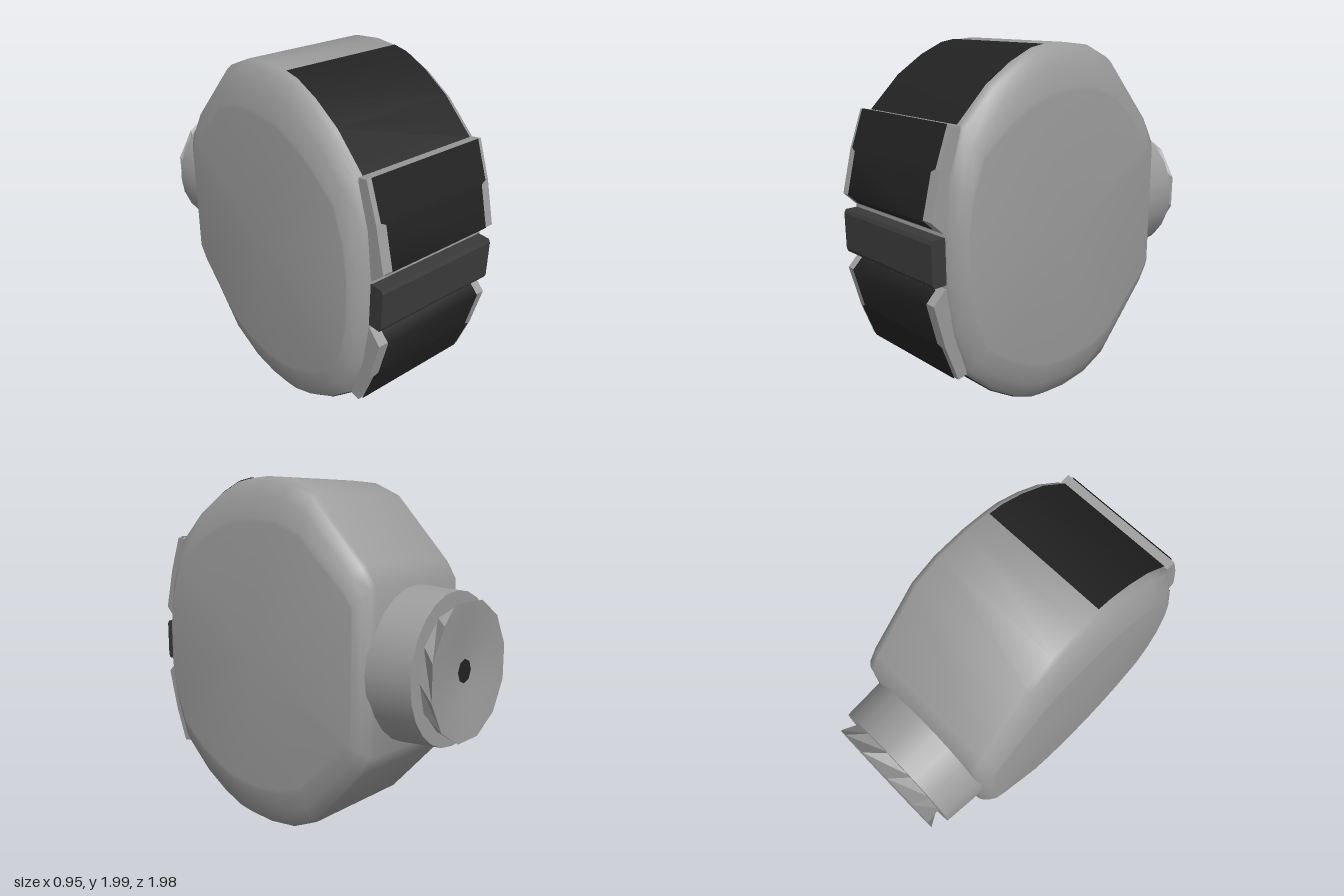
import * as THREE from 'three';
import { toCreasedNormals } from 'three/addons/utils/BufferGeometryUtils.js';

const mat = (name, color, extra = {}) =>
  Object.assign(new THREE.MeshStandardMaterial({ color, ...extra }), { name });

// Outline of the case as [z, y]; upper front arc is shared by the dark strip
const FRONT_ARC = [[0.22, 1.985], [0.31, 1.97], [0.45, 1.91], [0.61, 1.81], [0.79, 1.64]];
const flip = (pts) => pts.map(([z, y]) => [z, 2 - y]);
const upperFront = [[0.08, 1.995], ...FRONT_ARC, [0.87, 1.4], [0.905, 1.15]];
const upperBack = [[-0.66, 1.44], [-0.6, 1.54], [-0.27, 1.9], [-0.1, 1.975]];
const OUTLINE = [
  ...upperFront, ...flip(upperFront).reverse(),
  ...flip(upperBack).reverse(), ...upperBack,
];

function geometryFrom(positions, index) {
  const g = new THREE.BufferGeometry();
  g.setAttribute('position', new THREE.Float32BufferAttribute(positions, 3));
  g.setIndex(index);
  g.computeVertexNormals();
  return g;
}

// Case: the outline lofted across x, drawn in towards both sides
function caseGeometry() {
  const half = [[0.475, 1.12], [0.472, 1], [0.44, 0.5], [0.4, 0.1], [0.37, 0]];
  const rings = [
    ...half.map(([x, t]) => [-x, t]),
    ...half.slice().reverse(),
  ];
  const n = OUTLINE.length, pos = [], idx = [];
  for (const [x, t] of rings)
    for (const [z, y] of OUTLINE)
      pos.push(x, 1 + (y - 1) * (1 - 0.22 * t), 0.1 + (z - 0.1) * (1 - 0.09 * t));
  for (let r = 0; r < rings.length - 1; r++)
    for (let i = 0; i < n; i++) {
      const a = r * n + i, b = r * n + (i + 1) % n;
      idx.push(a, b, b + n, a, b + n, a + n);
    }
  // Flat side caps
  const c = pos.length / 3, last = (rings.length - 1) * n;
  pos.push(-0.475, 1, 0.1, 0.475, 1, 0.1);
  for (let i = 0; i < n; i++) {
    const j = (i + 1) % n;
    idx.push(c, j, i, c + 1, last + i, last + j);
  }
  return toCreasedNormals(geometryFrom(pos, idx), 0.8);
}

// Thin strip along [z, y, halfWidth] points, lifted slightly off the surface
function stripGeometry(points) {
  const pos = [], idx = [], lift = 1.006;
  points.forEach(([z, y, w], i) => {
    const Y = 1 + (y - 1) * lift, Z = 0.1 + (z - 0.1) * lift;
    pos.push(-w, Y, Z, w, Y, Z);
    if (i) {
      const a = 2 * i - 2;
      idx.push(a, a + 2, a + 3, a, a + 3, a + 1);
    }
  });
  return geometryFrom(pos, idx);
}

// Side profile [z, y] extruded across x
function crossBar(points, width) {
  const g = new THREE.ExtrudeGeometry(
    new THREE.Shape(points.map(([z, y]) => new THREE.Vector2(z, y))),
    { depth: width, bevelEnabled: false });
  return g.translate(0, 0, -width / 2).rotateY(-Math.PI / 2);
}

export function createModel() {
  const group = new THREE.Group();
  const grey = mat('caseGrey', 0x9c9c9c);
  const black = mat('gripBlack', 0x222222, { side: THREE.DoubleSide });
  const dark = mat('buttonDark', 0x3a3a3a);
  const add = (name, geometry, material) => {
    const m = new THREE.Mesh(geometry, material);
    m.name = name;
    group.add(m);
    return m;
  };

  add('case', caseGeometry(), grey);

  // Raised pads and dark grips, above and below the button
  const pad = [[0.79, 1.64], [0.845, 1.65], [0.92, 1.45], [0.982, 1.21], [0.91, 1.14], [0.84, 1.14]];
  const padGrip = [[0.845, 1.65, 0.36], [0.92, 1.45, 0.36], [0.924, 1.435, 0.33],
    [0.982, 1.21, 0.33], [0.922, 1.152, 0.33]];
  const arcGrip = FRONT_ARC.map(([z, y]) => [z, y, 0.362]);
  for (const [side, lower] of [['upper', false], ['lower', true]]) {
    const place = (pts) => (lower ? pts.map(([z, y, w]) => [z, 2 - y, w]) : pts);
    add(side + 'Pad', crossBar(place(pad), 0.77), grey);
    add(side + 'PadGrip', stripGeometry(place(padGrip)), black);
    add(side + 'CaseGrip', stripGeometry(place(arcGrip)), black);
  }

  // Button bar with softened edges
  add('button', crossBar([[0.88, 0.88], [0.975, 0.88], [0.985, 0.9],
    [0.985, 1.1], [0.975, 1.12], [0.88, 1.12]], 0.77), dark);

  // Neck at the back
  const neck = new THREE.CylinderGeometry(0.412, 0.43, 0.26, 24);
  add('neck', neck.rotateX(-Math.PI / 2).translate(0, 1, -0.77), grey);

  // Knob wall: facets twisted by half a step
  const N = 12;
  const wall = new THREE.CylinderGeometry(0.375, 0.335, 0.1, N, 1, true);
  const p = wall.attributes.position, v = new THREE.Vector3(), up = new THREE.Vector3(0, 1, 0);
  for (let i = 0; i < p.count; i++) {
    v.fromBufferAttribute(p, i);
    if (v.y > 0) v.applyAxisAngle(up, Math.PI / N);
    p.setXYZ(i, v.x, v.y, v.z);
  }
  const facets = wall.toNonIndexed();
  facets.computeVertexNormals();
  add('knobWall', facets.rotateX(-Math.PI / 2).translate(0, 1, -0.94), grey);

  // Dished knob face with a small dark socket
  const face = new THREE.LatheGeometry(
    [[0.375, 0.99], [0.2, 0.97], [0.06, 0.95], [0, 0.95]].map(([r, d]) => new THREE.Vector2(r, d)),
    N, Math.PI / N);
  add('knobFace', face.rotateX(-Math.PI / 2).translate(0, 1, 0), grey);
  const socket = new THREE.CircleGeometry(0.065, 8).rotateY(Math.PI);
  add('socket', socket.translate(0, 1, -0.956), black);

  return group;
}
